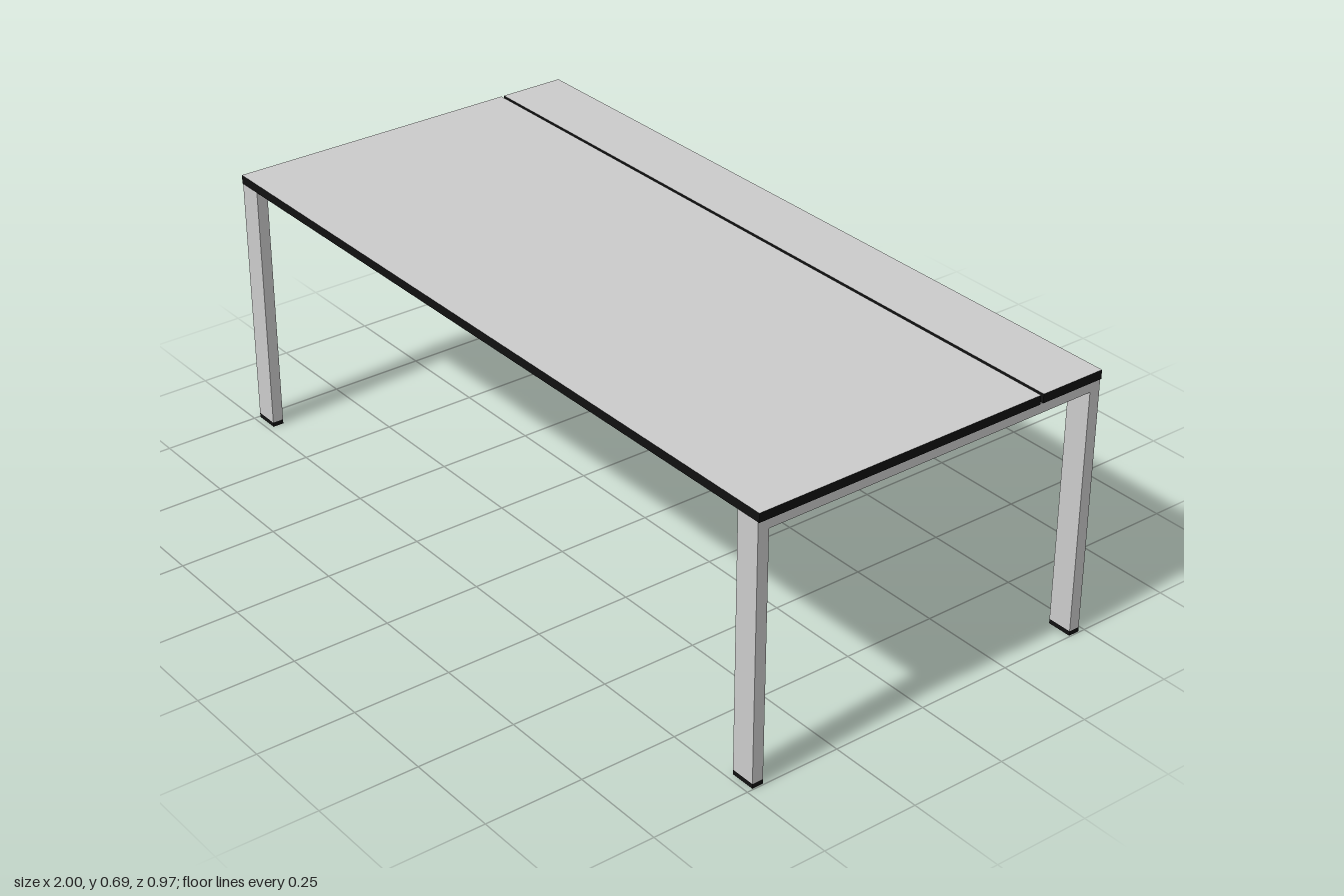
import * as THREE from 'three';

export function createModel() {
  const model = new THREE.Group();
  model.name = 'table';
  const grey = new THREE.MeshStandardMaterial({ color: 0xcccccc });
  const black = new THREE.MeshStandardMaterial({ color: 0x111111 });

  const topY = 0.687, railTop = 0.664, railBottom = 0.639;
  const footH = 0.012, depth = 0.484, legT = 0.029, legW = 0.065;

  function box(name, parent, material, [x0, x1], [y0, y1], [z0, z1]) {
    const mesh = new THREE.Mesh(new THREE.BoxGeometry(x1 - x0, y1 - y0, z1 - z0), material);
    mesh.position.set((x0 + x1) / 2, (y0 + y1) / 2, (z0 + z1) / 2);
    mesh.name = name;
    parent.add(mesh);
  }

  // Two top panels with a narrow open slot between them: grey faces, black edges
  const panel = [black, black, grey, grey, black, black];
  box('mainTopPanel', model, panel, [-1, 1], [railTop, topY], [-0.3, depth]);
  box('rearTopPanel', model, panel, [-1, 1], [railTop, topY], [-depth, -0.308]);

  // Portal outline: two legs joined by a rail
  const inner = depth - legT;
  const portal = new THREE.Shape([
    [-depth, footH], [-inner, footH], [-inner, railBottom], [inner, railBottom],
    [inner, footH], [depth, footH], [depth, railTop], [-depth, railTop],
  ].map(([z, y]) => new THREE.Vector2(z, y)));
  const portalGeometry = new THREE.ExtrudeGeometry(portal, { depth: legW, bevelEnabled: false });
  portalGeometry.translate(0, 0, -legW / 2).rotateY(Math.PI / 2);

  // One leg frame at each end, with black feet
  for (const side of [-1, 1]) {
    const end = new THREE.Group();
    end.name = side > 0 ? 'leftLegFrame' : 'rightLegFrame';
    end.position.x = side * (0.997 - legW / 2);
    const frame = new THREE.Mesh(portalGeometry, grey);
    frame.name = 'legsAndRail';
    end.add(frame);
    for (const s of [-1, 1]) {
      const z = s * (depth - legT / 2);
      box(s > 0 ? 'frontFoot' : 'backFoot', end, black,
        [-legW / 2, legW / 2], [0, footH], [z - legT / 2, z + legT / 2]);
    }
    model.add(end);
  }
  return model;
}
